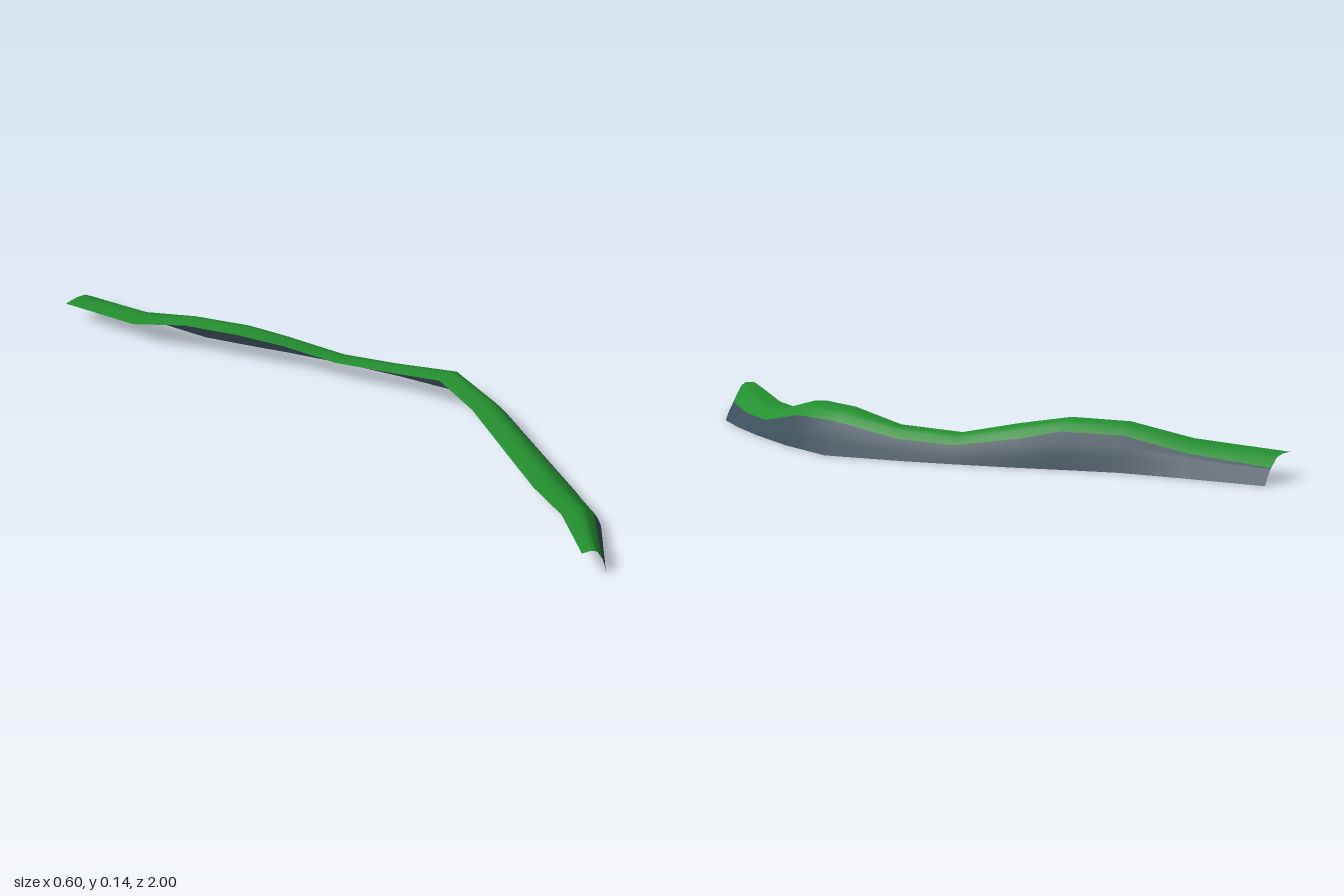
import * as THREE from 'three';

// Stations along the ridge: foot x, foot z, grass edge x, grass edge z, height, rock share of height
const stations = [
  [-0.155, -1.0, -0.3, -1.0, 0.075, 0.6],
  [-0.1, -0.78, -0.24, -0.73, 0.09, 0.7],
  [-0.05, -0.6, -0.17, -0.56, 0.131, 0.76],
  [0.03, -0.43, -0.1, -0.4, 0.136, 0.76],
  [0.075, -0.34, -0.02, -0.27, 0.113, 0.7],
  [0.16, -0.15, 0.06, -0.12, 0.079, 0.65],
  [0.22, 0.0, 0.13, 0.06, 0.092, 0.65],
  [0.297, 0.22, 0.155, 0.22, 0.133, 0.74],
  [0.26, 0.42, 0.115, 0.38, 0.129, 0.7],
  [0.2, 0.61, 0.075, 0.54, 0.08, 0.59],
  [0.14, 0.76, 0.01, 0.69, 0.077, 0.59],
  [0.08, 0.88, -0.05, 0.83, 0.1, 0.6],
  [-0.065, 1.0, -0.135, 0.96, 0.098, 0.6],
];

// Cross-section from foot to grass edge: [share of width, share of height]
const section = (rock) => [
  [0, 0], [0.09, 0.3], [0.19, 0.55],
  [0.2 + (rock - 0.57) * 0.71, rock],
  [0.42, 0.89], [0.55, 0.97], [0.7, 1], [1, 0.97],
];
const ROWS = 8, ROCK_ROWS = 3;

export function createModel() {
  const rock = new THREE.MeshStandardMaterial({ color: 0x3d505c, side: THREE.DoubleSide });
  rock.name = 'slate rock';
  const grass = new THREE.MeshStandardMaterial({ color: 0x249030, side: THREE.DoubleSide });
  grass.name = 'grass green';

  // One open sheet keeps the shading smooth where rock meets grass
  const positions = [];
  for (const [fx, fz, ex, ez, height, share] of stations)
    for (const [w, h] of section(share))
      positions.push(fx + (ex - fx) * w, height * h, fz + (ez - fz) * w);

  const index = [];
  const addBand = (from, to, material) => {
    const start = index.length;
    for (let i = 0; i < stations.length - 1; i++)
      for (let j = from; j < to; j++) {
        const a = i * ROWS + j, b = a + ROWS;
        index.push(a, a + 1, b, b, a + 1, b + 1);
      }
    geometry.addGroup(start, index.length - start, material);
  };
  const geometry = new THREE.BufferGeometry();
  geometry.setAttribute('position', new THREE.Float32BufferAttribute(positions, 3));
  addBand(0, ROCK_ROWS, 0); // rock wall
  addBand(ROCK_ROWS, ROWS - 1, 1); // grass top
  geometry.setIndex(index);
  geometry.computeVertexNormals();

  const cliff = new THREE.Mesh(geometry, [rock, grass]);
  cliff.name = 'grassyCliff';
  const model = new THREE.Group();
  model.name = 'cliffRidge';
  model.add(cliff);
  return model;
}
